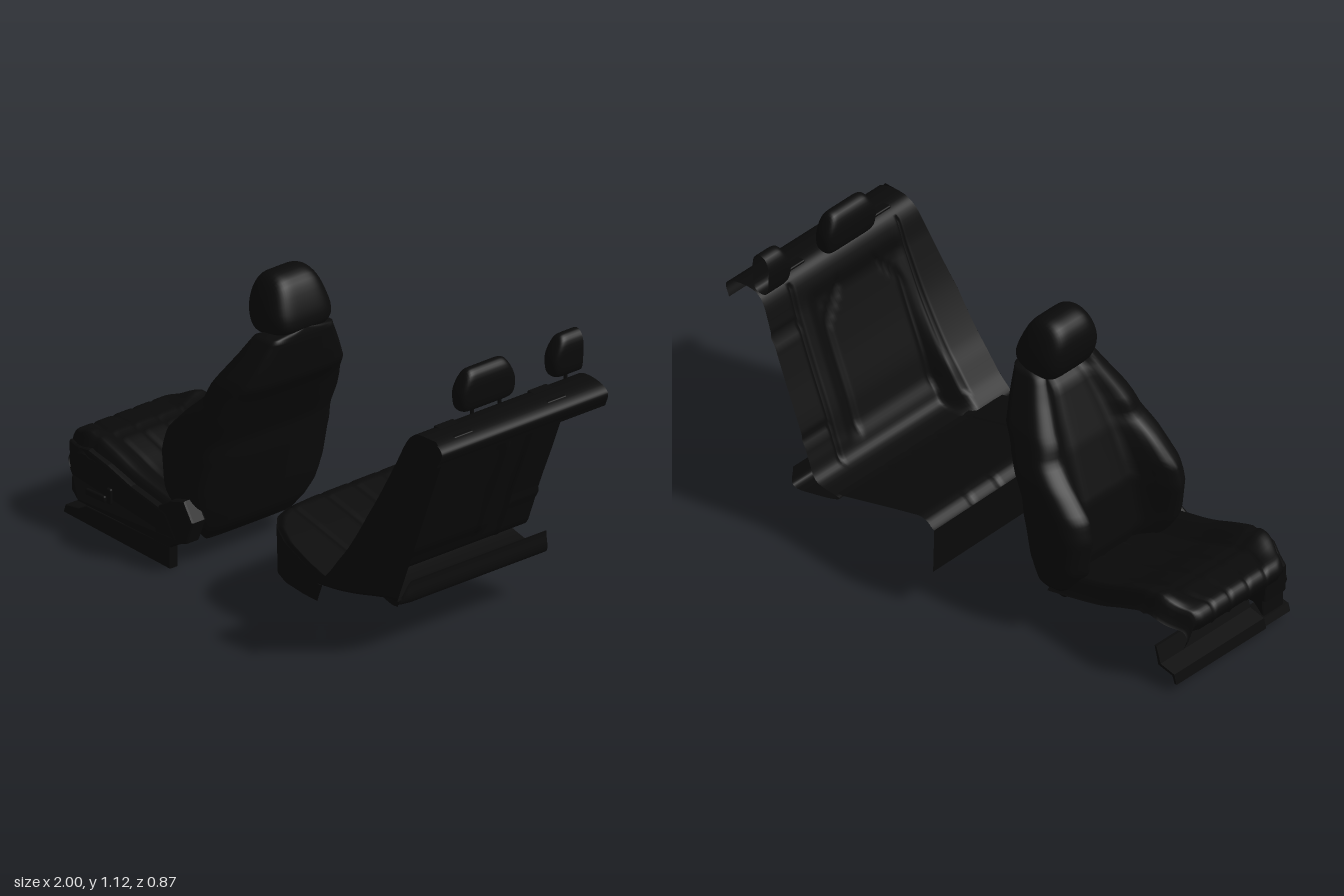
import * as THREE from 'three';
import { mergeVertices } from 'three/addons/utils/BufferGeometryUtils.js';
import { RoundedBoxGeometry } from 'three/addons/geometries/RoundedBoxGeometry.js';

const leather = new THREE.MeshStandardMaterial({ color: 0x0a0a0a, side: THREE.DoubleSide });
const smooth = THREE.MathUtils.smoothstep;
const lerp = THREE.MathUtils.lerp;
const seam = (d, width = 0.008) => Math.exp(-((d / width) ** 2));

// Linear lookup in a table of [key, value] pairs
function tab(table, k) {
  if (k <= table[0][0]) return table[0][1];
  for (let i = 1; i < table.length; i++) {
    const [a, va] = table[i - 1], [b, vb] = table[i];
    if (k <= b) return lerp(va, vb, (k - a) / (b - a));
  }
  return table[table.length - 1][1];
}

// Surface over a grid, fn(u, v) -> [x, y, z]
function grid(nu, nv, fn) {
  const pos = [], idx = [];
  for (let j = 0; j <= nv; j++)
    for (let i = 0; i <= nu; i++) pos.push(...fn(i / nu, j / nv));
  for (let j = 0; j < nv; j++)
    for (let i = 0; i < nu; i++) {
      const a = j * (nu + 1) + i, b = a + nu + 1;
      idx.push(a, a + 1, b, b, a + 1, b + 1);
    }
  let g = new THREE.BufferGeometry();
  g.setAttribute('position', new THREE.Float32BufferAttribute(pos, 3));
  g.setIndex(idx);
  g = mergeVertices(g, 1e-5);
  g.computeVertexNormals();
  return g;
}

const curve = (pts, closed = false) =>
  new THREE.CatmullRomCurve3(pts.map(([x, y]) => new THREE.Vector3(x, y, 0)), closed);

function add(group, name, geometry, x = 0, y = 0, z = 0) {
  const m = new THREE.Mesh(geometry, leather);
  m.name = name;
  m.position.set(x, y, z);
  group.add(m);
  return m;
}

// Side-on outline in x/y, given thickness between z0 and z1
function plate(pts, z0, z1, bevel = 0.01) {
  const g = new THREE.ExtrudeGeometry(new THREE.Shape(pts.map((p) => new THREE.Vector2(...p))), {
    depth: z1 - z0 - 2 * bevel, bevelThickness: bevel, bevelSize: bevel, bevelOffset: -bevel, bevelSegments: 2,
  });
  return g.translate(0, 0, z0 + bevel);
}

// Padded headrest: side outline swept across z, rounded off and narrowing to the top
function headrest(pts, zMid, half, boxy, from = -1) {
  const c = curve(pts, true);
  const box = new THREE.Box3().setFromPoints(c.getPoints(60));
  const mid = box.getCenter(new THREE.Vector3());
  return grid(36, 32, (u, v) => {
    const p = c.getPoint(u), t = Math.sin(lerp(from, 1, v) * Math.PI / 2);
    const k = Math.pow(Math.max(0, 1 - Math.abs(t) ** boxy), 0.4);
    const y = lerp(mid.y, p.y, k);
    const narrow = 1 - 0.22 * smooth(y, box.min.y + 0.06, box.max.y);
    return [lerp(mid.x, p.x, k), y, zMid + t * half * narrow];
  });
}

function frontSeat() {
  const seat = new THREE.Group();
  seat.name = 'frontSeat';

  // Cushion top skin with raised side bolsters and long seams
  const line = curve([[-0.36, 0.2], [-0.48, 0.225], [-0.62, 0.26], [-0.74, 0.305], [-0.83, 0.332],
    [-0.92, 0.332], [-0.98, 0.325], [-1, 0.29], [-0.985, 0.25]]);
  add(seat, 'frontCushion', grid(64, 40, (u, v) => {
    const p = line.getPoint(v), s = u * 2 - 1, e = Math.abs(s);
    const half = 0.305 - 0.05 * smooth(-p.x, 0.88, 1);
    const rise = 0.035 * smooth(e, 0.5, 0.8) * (1 - smooth(-p.x, 0.86, 0.97));
    const drop = 0.07 * smooth(e, 0.86, 1);
    const cut = 0.007 * (seam(e - 0.52, 0.03) + seam(e - 0.18, 0.03) + seam(p.x + 0.83, 0.01));
    return [p.x + 0.025 * smooth(e, 0.75, 1) * v, p.y + rise - drop - cut, 0.055 + s * half];
  }));

  // Backrest: rings stacked up the height, hollow between the bolsters
  const bolster = [[0.1, -0.38], [0.2, -0.47], [0.28, -0.52], [0.42, -0.545], [0.5, -0.525], [0.58, -0.445],
    [0.66, -0.355], [0.72, -0.335], [0.84, -0.25], [0.92, -0.2], [0.945, -0.1]];
  const middle = [[0.1, -0.37], [0.25, -0.41], [0.45, -0.385], [0.65, -0.31], [0.85, -0.215], [0.945, -0.1]];
  const rear = [[0.1, -0.35], [0.15, -0.31], [0.25, -0.27], [0.45, -0.215], [0.52, -0.2], [0.69, -0.125],
    [0.75, -0.085], [0.82, -0.07], [0.92, -0.055], [0.945, -0.06]];
  const width = [[0.1, 0.2], [0.2, 0.285], [0.3, 0.308], [0.45, 0.308], [0.6, 0.29], [0.75, 0.24], [0.87, 0.175],
    [0.93, 0.14], [0.945, 0.03]];
  add(seat, 'frontBackrest', grid(72, 48, (u, v) => {
    const y = lerp(0.1, 0.945, v), a = u * Math.PI * 2;
    const s = Math.sin(a), c = Math.cos(a);
    const e = Math.abs(s) ** 0.65, r = tab(rear, y), f = tab(bolster, y);
    const core = lerp(f, r, 0.65);
    const front = lerp(tab(middle, y), f, smooth(e, 0.4, 0.75)) + 0.008 * seam(e - 0.45, 0.04);
    const x = c > 0 ? lerp(core, front, c ** 0.35) : lerp(core, r, (-c) ** 0.6);
    return [x, y, 0.025 + Math.sign(s) * e * tab(width, y)];
  }));

  add(seat, 'frontHeadrest', headrest([[-0.23, 0.91], [-0.262, 0.98], [-0.264, 1.06], [-0.235, 1.115],
    [-0.18, 1.135], [-0.12, 1.115], [-0.08, 1.05], [-0.058, 0.95], [-0.1, 0.91], [-0.17, 0.9]], 0.012, 0.142, 5));

  // Outer side trim, curving inward at the front corner
  const trim = plate([[-0.985, 0.29], [-0.98, 0.18], [-0.96, 0.17], [-0.965, 0.11], [-0.88, 0.105], [-0.4, 0.09],
    [-0.36, 0.13], [-0.42, 0.22], [-0.6, 0.26], [-0.72, 0.3], [-0.82, 0.325], [-0.88, 0.315], [-0.93, 0.3]], 0.25, 0.362);
  const tp = trim.attributes.position;
  for (let i = 0; i < tp.count; i++) tp.setZ(i, tp.getZ(i) - 0.06 * smooth(-tp.getX(i), 0.85, 1));
  trim.computeVertexNormals();
  add(seat, 'sideTrim', trim);

  // Hinge cover and switches
  add(seat, 'hingeCover', plate([[-0.48, 0.22], [-0.4, 0.27], [-0.33, 0.29], [-0.285, 0.22], [-0.32, 0.13],
    [-0.4, 0.1], [-0.48, 0.1]], 0.29, 0.36));
  add(seat, 'seatSwitch', new RoundedBoxGeometry(0.1, 0.025, 0.015, 2, 0.007), -0.78, 0.165, 0.361);
  add(seat, 'backSwitch', new RoundedBoxGeometry(0.025, 0.06, 0.015, 2, 0.007), -0.71, 0.185, 0.361);

  // Floor rail cover and front valance
  add(seat, 'railCover', plate([[-0.95, 0.045], [-0.94, 0.075], [-0.87, 0.085], [-0.83, 0.106], [-0.4, 0.095],
    [-0.4, 0.01]], 0.32, 0.36, 0.004));
  add(seat, 'railBracket', plate([[-0.95, 0.045], [-0.94, 0.075], [-0.86, 0.085], [-0.86, 0.045]], 0.22, 0.33, 0.004));
  add(seat, 'frontValance', plate([[-0.955, 0.04], [-0.945, 0.08], [-0.88, 0.095], [-0.86, 0.16], [-0.85, 0.16],
    [-0.868, 0.085], [-0.935, 0.07], [-0.945, 0.04]], -0.23, 0.23, 0.002));
  return seat;
}

function rearSeat() {
  const seat = new THREE.Group();
  seat.name = 'rearSeat';

  // Cushion: rounded outer corner, open below and at the cut side
  const edge = [[-0.43, 0.01], [0.1, 0.018], [0.2, 0.03], [0.28, 0.07], [0.33, 0.12], [0.365, 0.2], [0.385, 0.32], [0.39, 0.43]];
  const top = [[0.01, 0.355], [0.08, 0.365], [0.2, 0.335], [0.45, 0.268]];
  const zAt = (u) => lerp(-0.43, 0.39, 1 - (1 - u) ** 1.4);
  const topY = (x, z) => tab(top, x) - 0.02 * (1 - smooth(x - tab(edge, z), 0, 0.04));
  add(seat, 'rearCushionTop', grid(90, 30, (u, v) => {
    const z = zAt(u), x = lerp(tab(edge, z), 0.47, v * v * 0.5 + v * 0.5);
    const cut = 0.007 * (seam(z + 0.22 - 0.05 * x) + seam(z - 0.055) + seam(z - 0.21) + seam(z + 0.08));
    return [x, topY(x, z) - cut, z];
  }));
  add(seat, 'rearCushionSkirt', grid(90, 10, (u, v) => {
    const z = zAt(u), x = tab(edge, z);
    return [lerp(Math.min(x, 0.39), x, v), lerp(0.16, topY(x, z), v), z - 0.006 * (1 - v)];
  }));

  // Backrest skin: profiles run from the lower rear, up the front and over the top
  const crown = [[0.83, 0.92], [0.87, 0.945], [0.97, 0.935], [1, 0.91], [0.985, 0.86]];
  const wing = curve([[0.68, 0.22], [0.67, 0.2], [0.58, 0.22], [0.44, 0.25], [0.5, 0.32], [0.55, 0.385],
    [0.6, 0.45], [0.7, 0.62], [0.78, 0.8], ...crown]);
  const centre = curve([[0.68, 0.28], [0.68, 0.2], [0.58, 0.21], [0.46, 0.25], [0.57, 0.27], [0.605, 0.34],
    [0.645, 0.45], [0.715, 0.62], [0.785, 0.8], ...crown]);
  const outer = [[0.225, 0.27], [0.252, 0.43], [0.42, 0.427], [0.6, 0.418], [0.8, 0.378], [0.94, 0.345]];
  const fan = (z, y) => (z < 0.25 ? z : 0.25 + (z - 0.25) * (tab(outer, y) - 0.25) / 0.18);
  add(seat, 'rearBackrest', grid(110, 91, (u, v) => {
    const z = lerp(-0.43, 0.43, u);
    const p = centre.getPoint(v).lerp(wing.getPoint(v), smooth(z, 0.2, 0.27));
    const front = v > 0.3 && v < 0.69 ? 1 : 0;
    const arch = 0.19 - 0.1 * smooth(p.y, 0.7, 0.84);
    const e = Math.abs(z - 0.02);
    const recess = (0.012 * (1 - smooth(e, 0.2, 0.26)) + 0.01 * seam(e - arch, 0.012))
      * smooth(p.y, 0.3, 0.36) * (1 - smooth(p.y, 0.8, 0.86));
    const split = 0.012 * (seam(z + 0.29) + seam(z - 0.265)) * smooth(p.y, 0.25, 0.3);
    const armrest = z < -0.29 ? 0.01 * (seam(p.y - 0.41, 0.01) + seam(p.y - 0.78, 0.01)) : 0;
    return [p.x + front * (recess + split + armrest), p.y, fan(z, p.y)];
  }));

  // Outer flank, tapering inward from the front edge to the sloping rear line
  add(seat, 'rearBackrestFlank', grid(8, 44, (u, v) => {
    const p = wing.getPoint(lerp(1.3, 10.5, v) / 13);
    const back = Math.min(0.68 + (p.y - 0.2) * 0.455, 1 - 0.8 * Math.max(0, p.y - 0.9));
    const z = fan(0.43, p.y), inner = Math.min(z, lerp(0.28, 0.345, (p.y - 0.2) / 0.74));
    return [lerp(p.x, Math.max(p.x, back), u), p.y, lerp(z, inner, u * u)];
  }));

  // Belt guides on the shelf
  for (const z of [0.215, -0.225]) {
    const guide = add(seat, 'beltGuide', new RoundedBoxGeometry(0.11, 0.012, 0.09, 2, 0.005), 0.91, 0.939, z);
    guide.rotation.z = -0.1;
  }

  // Headrests: one whole, one cut at the open side
  const pad = [[0.81, 0.953], [0.797, 1.0], [0.797, 1.06], [0.815, 1.1], [0.845, 1.108], [0.868, 1.085],
    [0.872, 1.02], [0.862, 0.96], [0.84, 0.948]];
  add(seat, 'rearHeadrest', headrest(pad, 0.005, 0.132, 10));
  add(seat, 'centreHeadrest', headrest(pad, -0.43, 0.132, 10, 0));
  for (const z of [0.07, -0.06, -0.37])
    add(seat, 'headrestPost', new THREE.CylinderGeometry(0.007, 0.007, 0.06, 12), 0.845, 0.95, z);
  return seat;
}

export function createModel() {
  const model = new THREE.Group();
  model.name = 'carSeats';
  model.add(frontSeat(), rearSeat());
  return model;
}
